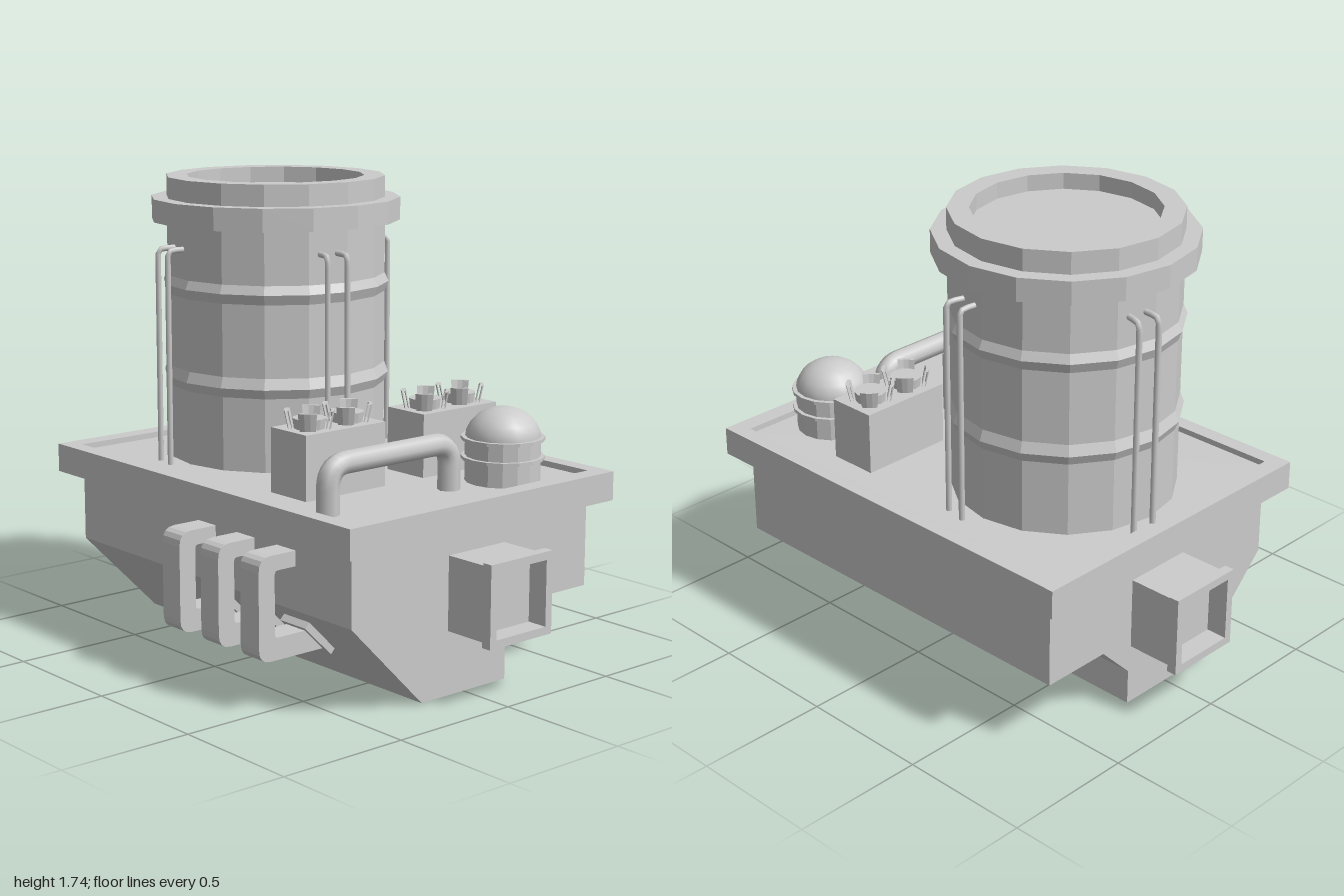
import * as THREE from 'three';

const flat = new THREE.MeshStandardMaterial({ color: 0xcccccc, flatShading: true, side: THREE.DoubleSide });
const smooth = new THREE.MeshStandardMaterial({ color: 0xcccccc, side: THREE.DoubleSide });

function add(parent, name, geometry, material = flat, x = 0, y = 0, z = 0) {
  const mesh = new THREE.Mesh(geometry, material);
  mesh.name = name;
  mesh.position.set(x, y, z);
  parent.add(mesh);
  return mesh;
}

const box = (w, h, d) => new THREE.BoxGeometry(w, h, d);
const lathe = (points, sides, start, length) =>
  new THREE.LatheGeometry(points.map(([r, y]) => new THREE.Vector2(r, y)), sides, start, length);
const outline = (points) => new THREE.Shape(points.map(([a, b]) => new THREE.Vector2(a, b)));
const rect = (w, h) => [[-w / 2, -h / 2], [w / 2, -h / 2], [w / 2, h / 2], [-w / 2, h / 2]];

function frameShape(w, h, holeW, holeH) {
  const shape = outline(rect(w, h));
  shape.holes.push(outline(rect(holeW, holeH)));
  return shape;
}

// Extrude a (z, y) outline along x, centred on x = 0
function extrudeX(shape, width) {
  return new THREE.ExtrudeGeometry(shape, { depth: width, bevelEnabled: false, curveSegments: 4 })
    .translate(0, 0, -width / 2).rotateY(-Math.PI / 2);
}

// Path of straight runs with rounded corners
function roundedPath(points, radius) {
  const p = points.map((a) => new THREE.Vector3(...a));
  const path = new THREE.CurvePath();
  let from = p[0];
  for (let i = 1; i < p.length - 1; i++) {
    const a = p[i].clone().add(p[i - 1].clone().sub(p[i]).setLength(radius));
    const b = p[i].clone().add(p[i + 1].clone().sub(p[i]).setLength(radius));
    path.add(new THREE.LineCurve3(from, a));
    path.add(new THREE.QuadraticBezierCurve3(a, p[i], b));
    from = b;
  }
  path.add(new THREE.LineCurve3(from, p[p.length - 1]));
  return path;
}

function hull(root) {
  const profile = outline([[0.525, 0.6], [0.525, 0.33], [0.2, 0], [-0.205, 0],
    [-0.205, 0.135], [-0.34, 0.27], [-0.615, 0.27], [-0.615, 0.6]]);
  add(root, 'hull', extrudeX(profile, 1.56));
  // Deck slab with a raised lip
  add(root, 'deckFloor', box(1.62, 0.08, 1.2), flat, 0, 0.64, -0.043);
  const lip = new THREE.ExtrudeGeometry(frameShape(1.7, 1.274, 1.56, 1.15), { depth: 0.108, bevelEnabled: false });
  add(root, 'deckLip', lip.rotateX(-Math.PI / 2), flat, 0, 0.594, -0.043);
}

function sideDuct(root, side) {
  const duct = new THREE.Group();
  duct.name = side > 0 ? 'leftDuct' : 'rightDuct';
  duct.position.set(0, 0.371, -0.058);
  add(duct, 'ductWalls', extrudeX(frameShape(0.272, 0.272, 0.24, 0.24), 0.2), flat, side * 0.862);
  add(duct, 'ductBack', box(0.16, 0.25, 0.25), flat, side * 0.84);
  add(duct, 'ductFlange', extrudeX(frameShape(0.3, 0.3, 0.24, 0.24), 0.038), flat, side * 0.981);
  root.add(duct);
}

function tank(root) {
  const group = new THREE.Group();
  group.name = 'tank';
  group.position.set(-0.3125, 0, -0.05);
  const profile = [[0, 0.66], [0.413, 0.66], [0.413, 0.955], [0.428, 0.99], [0.413, 1.03],
    [0.413, 1.3], [0.428, 1.337], [0.413, 1.37], [0.413, 1.57], [0.47, 1.57], [0.47, 1.655],
    [0.413, 1.655], [0.413, 1.735], [0.335, 1.735], [0.335, 1.675], [0, 1.675]];
  add(group, 'tankShell', lathe(profile, 16));
  // Pairs of thin pipes on four sides
  const path = roundedPath([[0.472, 0.67, 0], [0.472, 1.48, 0], [0.395, 1.48, 0]], 0.025);
  const pipe = new THREE.TubeGeometry(path, 40, 0.011, 8);
  for (let quarter = 0; quarter < 4; quarter++) {
    for (const degrees of [6, 16]) {
      add(group, 'tankPipe', pipe, smooth).rotation.y =
        -quarter * Math.PI / 2 - THREE.MathUtils.degToRad(degrees);
    }
  }
  root.add(group);
}

function ventBox(root, z) {
  const group = new THREE.Group();
  group.name = 'ventBox';
  group.position.set(0.316, 0, z);
  add(group, 'ventHousing', box(0.192, 0.255, 0.368), flat, 0, 0.7875, 0);
  const prong = [[0.062, 0.91], [0.075, 0.91], [0.09, 0.98], [0.077, 0.98], [0.062, 0.91]];
  for (const dz of [-0.088, 0.088]) {
    add(group, 'ventCap', new THREE.CylinderGeometry(0.06, 0.055, 0.04, 12), flat, 0, 0.932, dz);
    // Four outward-leaning curved prongs
    for (let i = 0; i < 4; i++) {
      const middle = Math.PI / 4 + i * Math.PI / 2;
      add(group, 'ventProng', lathe(prong, 3, middle - 0.38, 0.76), flat, 0, 0, dz);
    }
  }
  root.add(group);
}

function dome(root) {
  const group = new THREE.Group();
  group.name = 'domeTank';
  group.position.set(0.617, 0, -0.343);
  add(group, 'domeBase', new THREE.CylinderGeometry(0.137, 0.137, 0.18, 16, 1, true), flat, 0, 0.75, 0);
  const cap = new THREE.SphereGeometry(0.137, 16, 6, 0, Math.PI * 2, 0, Math.PI / 2).scale(1, 0.83, 1);
  add(group, 'domeCap', cap, smooth, 0, 0.838, 0);
  for (const y of [0.768, 0.838]) {
    add(group, 'domeRing', new THREE.CylinderGeometry(0.152, 0.152, 0.012, 16), flat, 0, y, 0);
  }
  root.add(group);
}

function frontHook(root, x) {
  const group = new THREE.Group();
  group.name = 'frontDuct';
  group.position.x = x;
  // C-shaped band with rounded outer and inner corners
  const s = new THREE.Shape();
  s.moveTo(0.5, 0.544);
  s.lineTo(0.635, 0.544);
  s.quadraticCurveTo(0.687, 0.544, 0.687, 0.492);
  s.lineTo(0.687, 0.222);
  s.quadraticCurveTo(0.687, 0.17, 0.635, 0.17);
  s.lineTo(0.36, 0.17);
  s.lineTo(0.42, 0.25);
  s.lineTo(0.602, 0.25);
  s.quadraticCurveTo(0.617, 0.25, 0.617, 0.265);
  s.lineTo(0.617, 0.473);
  s.quadraticCurveTo(0.617, 0.488, 0.602, 0.488);
  s.lineTo(0.5, 0.488);
  add(group, 'frontDuctBand', extrudeX(s, 0.1));
  // Mounting plate lying on the sloped hull face
  add(group, 'frontDuctPlate', box(0.136, 0.03, 0.165), flat, 0, 0.216, 0.428).rotation.x = -Math.PI / 4;
  root.add(group);
}

export function createModel() {
  const root = new THREE.Group();
  root.name = 'industrialUnit';
  hull(root);
  sideDuct(root, 1);
  sideDuct(root, -1);
  tank(root);
  ventBox(root, -0.328);
  ventBox(root, 0.227);
  dome(root);
  // Arched pipe on the deck
  const arch = roundedPath([[0, 0.66, 0.467], [0, 0.85, 0.467], [0, 0.85, -0.098], [0, 0.66, -0.098]], 0.08);
  add(root, 'deckPipe', new THREE.TubeGeometry(arch, 48, 0.041, 8), smooth, 0.593, 0, 0);
  for (const x of [-0.004, 0.218, 0.44]) frontHook(root, x);
  return root;
}
